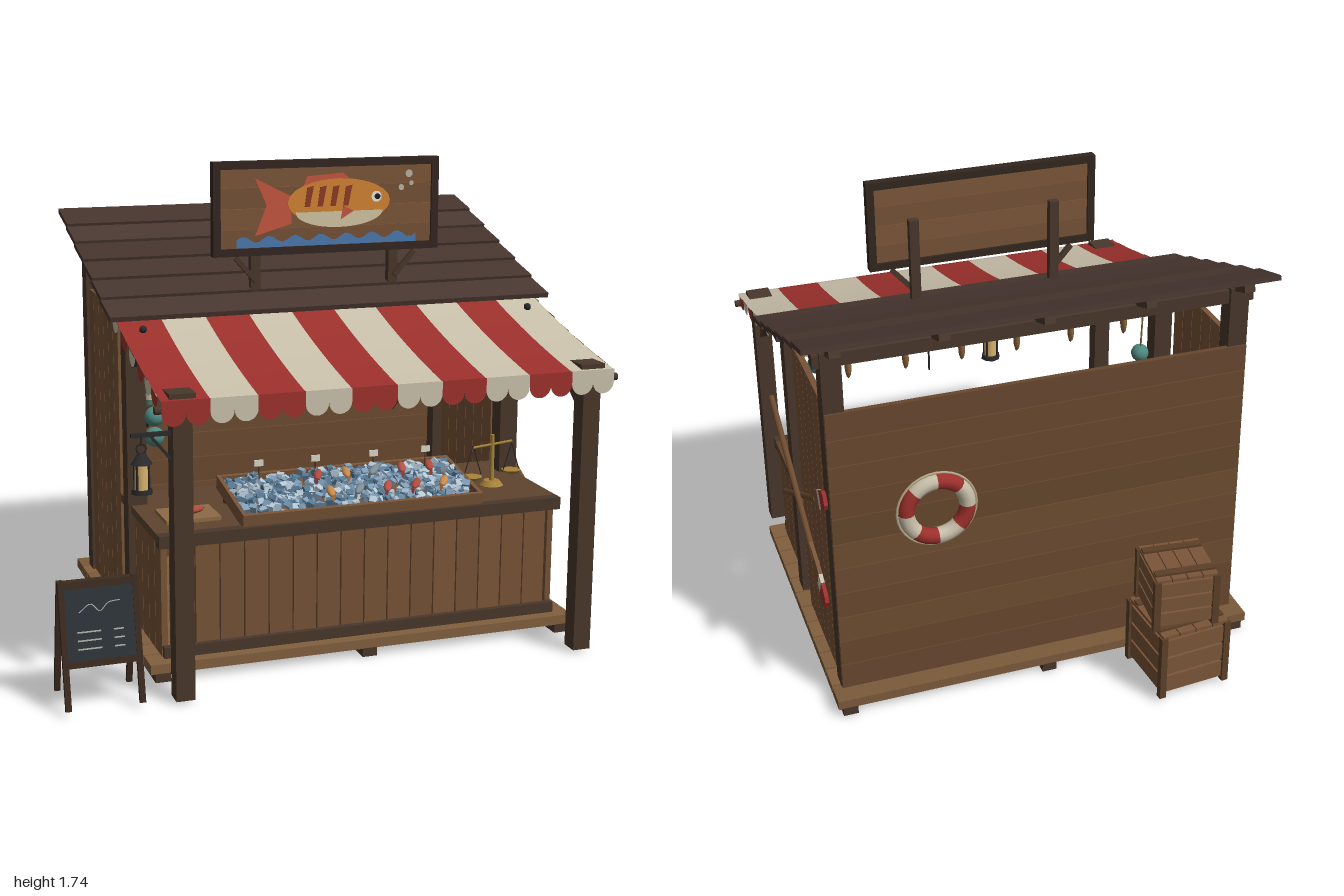
import * as THREE from 'three';
import { mergeGeometries } from 'three/addons/utils/BufferGeometryUtils.js';

const CX = 0.146, PX = 0.741; // stall centre and post offset in x
const WOOD = 0x7a5538, WALL = 0x6b4a30, DARK = 0x49372b, ROOF = 0x4a3831, DECK = 0x83603f;
const RED = 0x9c302c, CREAM = 0xc9c0aa, IRON = 0x2a2a2c, BRASS = 0xa8843a;
const mats = {};
const mat = c => mats[c] ??= new THREE.MeshStandardMaterial({ color: c, side: THREE.DoubleSide });
const shade = (c, k) => new THREE.Color(c).multiplyScalar(k).getHex();
let seed = 7;
const rnd = () => (seed = (seed * 16807) % 2147483647) / 2147483647;
const V = (x, y, z) => new THREE.Vector3(x, y, z);

function add(p, name, geo, c, x = 0, y = 0, z = 0) {
  const m = new THREE.Mesh(geo, mat(c));
  m.name = name; m.position.set(x, y, z); p.add(m);
  return m;
}
const box = (p, name, c, w, h, d, x, y, z) => add(p, name, new THREE.BoxGeometry(w, h, d), c, x, y, z);
const cyl = (p, name, c, r1, r2, h, x, y, z, n = 12) => add(p, name, new THREE.CylinderGeometry(r1, r2, h, n), c, x, y, z);
function group(p, name, x = 0, y = 0, z = 0) {
  const g = new THREE.Group(); g.name = name; g.position.set(x, y, z); p.add(g); return g;
}
// square or round bar between two points
function bar(p, name, c, a, b, t, round) {
  const l = a.distanceTo(b);
  const m = add(p, name, round ? new THREE.CylinderGeometry(t / 2, t / 2, l, 8) : new THREE.BoxGeometry(t, l, t), c);
  m.position.copy(a).lerp(b, 0.5);
  m.quaternion.setFromUnitVectors(V(0, 1, 0), b.clone().sub(a).normalize());
  return m;
}
const flat = (pts, d) => new THREE.ExtrudeGeometry(new THREE.Shape(pts.map(q => new THREE.Vector2(...q))), { depth: d, bevelEnabled: false });

function fish(p, c, x, y, z, s, turn) {
  const g = group(p, 'fish', x, y, z);
  add(g, 'fishBody', new THREE.SphereGeometry(1, 10, 6), c).scale.set(s, s * 0.25, s * 0.35);
  const t = add(g, 'fishTail', new THREE.ConeGeometry(s * 0.35, s * 0.5, 6), c, -s * 1.1);
  t.rotation.z = -Math.PI / 2; t.scale.z = 0.4;
  g.rotation.y = turn;
  return g;
}
function lantern(p, x, y, z) {
  const g = group(p, 'lantern', x, y, z);
  cyl(g, 'lanternBase', IRON, 0.034, 0.036, 0.015, 0, 0.008, 0, 8);
  cyl(g, 'lanternGlass', 0xd9b36c, 0.024, 0.024, 0.085, 0, 0.055, 0);
  for (let i = 0; i < 4; i++) cyl(g, 'lanternRod', IRON, 0.004, 0.004, 0.09, 0.028 * Math.cos(i * 1.57 + 0.8), 0.055, 0.028 * Math.sin(i * 1.57 + 0.8), 6);
  cyl(g, 'lanternHood', IRON, 0.012, 0.037, 0.035, 0, 0.117, 0, 8);
  add(g, 'lanternRing', new THREE.TorusGeometry(0.016, 0.003, 6, 12), IRON, 0, 0.15, 0);
}
function crate(p, s, h, x, y, z, turn) {
  const g = group(p, 'crate', x, y, z);
  g.rotation.y = turn;
  box(g, 'crateCore', 0x4b3523, s * 0.88, h * 0.94, s * 0.88, 0, h / 2, 0);
  for (let k = 0; k < 4; k++) {
    const f = group(g, 'crateSide'); f.rotation.y = k * Math.PI / 2;
    for (let i = 0; i < 3; i++) box(f, 'crateSlat', WOOD, s * 0.94, h * 0.26, 0.012, 0, h * (0.2 + i * 0.3), s * 0.46);
    box(f, 'crateCorner', 0x5c4028, 0.025, h, 0.025, s * 0.47, h / 2, s * 0.47);
  }
  for (let i = 0; i < 4; i++) box(g, 'crateLidSlat', WOOD, s * 0.23, 0.012, s * 0.98, s * (i - 1.5) * 0.245, h, 0);
  for (const e of [-1, 1]) box(g, 'crateLidBatten', 0x5c4028, s * 0.95, 0.01, 0.03, 0, h + 0.01, e * s * 0.32);
}
const awnY = t => 1.205 - 0.16 * t - 0.045 * t * (1 - t);
const awnZ = t => 0.25 + 0.63 * t;

function building(p) {
  // deck and skids
  for (const x of [-0.62, CX, 0.912]) box(p, 'skid', DARK, 0.055, 0.032, 1.23, x, 0.016, 0.045);
  for (let i = 0; i < 12; i++) box(p, 'deckPlank', shade(DECK, 0.88 + 0.14 * rnd()), 1.62, 0.035, 0.096, CX, 0.048, -0.52 + i * 0.1028);
  // posts, walls and counter sides, mirrored
  for (const s of [-1, 1]) {
    const x = CX + s * PX;
    box(p, 'backPost', DARK, 0.072, 1.39, 0.072, x, 0.74, -0.452);
    box(p, 'middlePost', DARK, 0.072, 1.2, 0.072, x, 0.63, 0.19);
    box(p, 'awningPost', DARK, 0.066, 1.03, 0.066, x, 0.525, 0.83);
    box(p, 'postCap', DARK, 0.09, 0.03, 0.09, x, 1.05, 0.82);
    bar(p, 'awningBrace', DARK, V(x, 0.89, 0.81), V(x, 1.02, 0.65), 0.028);
    bar(p, 'awningBrace', DARK, V(x, 1.03, 0.21), V(x, 1.15, 0.36), 0.028);
    bar(p, 'awningArm', DARK, V(x, 1.165, 0.2), V(x, 1.02, 0.84), 0.025);
    for (let i = 0; i < 6; i++) box(p, 'sideBoard', shade(WOOD, 0.86 + 0.16 * rnd()), 0.022, 1.145, 0.077, x + s * 0.014, 0.637, 0.022 - i * 0.08);
    for (let i = 0; i < 6; i++) box(p, 'counterSideBoard', shade(WOOD, 0.86 + 0.16 * rnd()), 0.022, 0.415, 0.085, x, 0.272, 0.547 - i * 0.0885);
    add(p, 'awningKnob', new THREE.SphereGeometry(0.014, 8, 6), IRON, x, awnY(0.16) + 0.01, 0.35);
  }
  for (let i = 0; i < 11; i++) box(p, 'backBoard', shade(WALL, 0.88 + 0.16 * rnd()), 1.55, 0.101, 0.02, CX, 0.117 + i * 0.104, -0.485);
  box(p, 'frontHeader', DARK, 1.6, 0.05, 0.05, CX, 1.195, 0.19);
  box(p, 'backHeader', DARK, 1.6, 0.05, 0.05, CX, 1.4, -0.45);
  // lapped board roof on rafters
  const r = group(p, 'roof', 0.15, 1.357, -0.143);
  r.rotation.x = 0.327;
  for (let i = 0; i < 6; i++) box(r, 'roofBoard', shade(ROOF, 0.85 + 0.17 * rnd()), 1.7, 0.018, 0.168, 0, 0, -0.38 + i * 0.152).rotation.x = -0.07;
  for (let i = 0; i < 5; i++) box(r, 'rafter', DARK, 0.04, 0.035, 0.86, -0.744 + i * 0.37, -0.028, 0);
  // counter
  for (let i = 0; i < 16; i++) box(p, 'counterBoard', shade(WOOD, 0.86 + 0.16 * rnd()), 0.085, 0.415, 0.022, -0.53 + i * 0.09, 0.272, 0.585);
  box(p, 'counterTop', 0x5e4430, 1.53, 0.03, 0.55, CX, 0.497, 0.335);
  box(p, 'counterTrim', DARK, 1.53, 0.045, 0.04, CX, 0.49, 0.6);
  box(p, 'counterBase', DARK, 1.5, 0.04, 0.025, CX, 0.087, 0.605);
}

function awning(p) {
  const w = 0.163;
  for (let i = 0; i < 10; i++) {
    const x = -0.67 + w * (i + 0.5), c = i % 2 ? CREAM : RED;
    const g = new THREE.PlaneGeometry(w, 1, 1, 8), a = g.attributes.position;
    for (let k = 0; k < a.count; k++) { const t = 0.5 - a.getY(k); a.setXYZ(k, a.getX(k), awnY(t), awnZ(t)); }
    g.computeVertexNormals();
    add(p, 'awningStripe', g, c, x);
    const s = new THREE.Shape().moveTo(-w / 2, 0.045).lineTo(-w / 2, 0);
    for (const e of [-1, 1]) s.absarc(e * w / 4, 0, w / 4, Math.PI, Math.PI * 2, false);
    s.lineTo(w / 2, 0.045);
    add(p, 'awningScallop', new THREE.ShapeGeometry(s, 8), c, x, 1.003, 0.882);
  }
  // half-round pennants along both sides
  [0.8, 0.715, 0.615, 0.5, 0.385, 0.255].forEach((z, i) => {
    const t = (z - 0.25) / 0.63;
    for (const x of [-0.672, 0.962]) {
      const m = add(p, 'sidePennant', new THREE.CircleGeometry(0.045, 14, Math.PI, Math.PI), i % 2 ? CREAM : RED, x, awnY(t), z);
      m.rotation.set(0, Math.PI / 2, 0.22);
    }
  });
  bar(p, 'awningRail', DARK, V(-0.69, 1.015, 0.862), V(0.98, 1.015, 0.862), 0.028, true);
}

function sign(p) {
  const g = group(p, 'sign', 0.147, 1.57, 0.172);
  for (let i = 0; i < 4; i++) box(g, 'signPlank', shade(WOOD, 0.9 + 0.12 * (i % 2)), 0.83, 0.074, 0.018, 0, -0.113 + i * 0.0753, 0);
  for (const e of [-1, 1]) {
    box(g, 'signFrame', 0x33261f, 0.875, 0.028, 0.036, 0, e * 0.157, 0);
    box(g, 'signFrame', 0x33261f, 0.028, 0.34, 0.036, e * 0.424, 0, 0);
    box(p, 'signPost', DARK, 0.036, 0.38, 0.03, 0.15 + e * 0.27, 1.4, 0.14);
    bar(p, 'signBrace', DARK, V(0.15 + e * 0.27, 1.3, 0.165), V(0.15 + e * 0.35, 1.39, 0.165), 0.018);
  }
  // painted fish, in thin layers
  const art = (n, c, pts, l) => add(g, n, flat(pts, 0.002), c, 0, 0, 0.008 + l * 0.002);
  const oval = (x, y, a, b, from = 0, to = Math.PI * 2) => Array.from({ length: 25 }, (_, i) => {
    const t = from + (to - from) * i / 24; return [x + a * Math.cos(t), y + b * Math.sin(t)];
  });
  art('paintedTail', 0xc4553f, [[-0.14, -0.06], [-0.28, -0.1], [-0.235, 0.01], [-0.28, 0.11], [-0.14, 0.04]], 1);
  art('paintedFin', 0xc4553f, [[-0.1, 0.06], [-0.08, 0.11], [0.06, 0.12], [0.12, 0.07]], 1);
  art('paintedBody', 0xd08232, oval(0.045, 0.015, 0.2, 0.085), 2);
  art('paintedBelly', 0xd2c3a2, oval(0.045, -0.02, 0.17, 0.058, Math.PI, Math.PI * 2), 3);
  for (let i = 0; i < 4; i++) art('paintedBand', 0x8e3a26, [[-0.09, 0.0], [-0.07, 0.0], [-0.055, 0.075], [-0.08, 0.07]].map(q => [q[0] + i * 0.05, q[1]]), 3);
  art('paintedSideFin', 0xc4553f, [[0.06, 0], [0.1, -0.02], [0.05, -0.05]], 4);
  art('paintedEye', 0xe8e4d8, oval(0.19, 0.03, 0.02, 0.02), 4);
  art('paintedPupil', 0x1c1c1c, oval(0.193, 0.03, 0.011, 0.011), 5);
  for (const [x, y, r] of [[0.29, 0.06, 0.011], [0.32, 0.11, 0.014], [0.33, 0.075, 0.009]]) art('paintedBubble', 0xb8b2a0, oval(x, y, r, r), 2);
  const wave = Array.from({ length: 41 }, (_, i) => [-0.35 + i * 0.0175, -0.112 + 0.012 * Math.sin(i * 1.1)]);
  art('paintedWater', 0x4a78ad, [[-0.35, -0.142], ...wave, [0.35, -0.142]], 2);
}

function goods(p) {
  // tilted ice tray with fish
  const t = group(p, 'iceTray', 0.145, 0.555, 0.44);
  t.rotation.x = 0.18;
  box(t, 'trayFloor', WOOD, 0.91, 0.02, 0.33, 0, -0.015, 0);
  for (const e of [-1, 1]) {
    box(t, 'trayRim', WOOD, 0.91, 0.05, 0.015, 0, 0.005, e * 0.16);
    box(t, 'trayRim', WOOD, 0.015, 0.05, 0.33, e * 0.45, 0.005, 0);
    box(p, 'trayFoot', DARK, 0.03, 0.06, 0.03, 0.145 + e * 0.42, 0.54, 0.3);
  }
  for (const c of [0x7f9db8, 0xb4c8d6, 0x557792]) {
    const parts = [];
    for (let i = 0; i < 170; i++) parts.push(new THREE.BoxGeometry(0.026, 0.02, 0.026).rotateX(rnd() * 3).rotateY(rnd() * 3)
      .translate((rnd() - 0.5) * 0.87, 0.012 + rnd() * 0.016, (rnd() - 0.5) * 0.29));
    add(t, 'ice', mergeGeometries(parts), c);
  }
  const cols = [0xb04a3c, 0xc98a4a, 0x7f8d96, 0xb5524a];
  for (let i = 0; i < 10; i++) fish(t, cols[i % 4], -0.1 + (i % 5) * 0.11, 0.045, i < 5 ? -0.07 : 0.07, 0.045, 0.9 + 0.5 * rnd());
  for (const x of [-0.16, 0.06, 0.29, 0.5]) {
    box(p, 'priceCard', 0xd8d4c8, 0.035, 0.024, 0.004, x, 0.655, 0.31);
    bar(p, 'priceStick', DARK, V(x, 0.58, 0.308), V(x, 0.65, 0.308), 0.005, true);
  }
  // cutting board with a fish and a knife
  box(p, 'cuttingBoard', 0x8d6a45, 0.2, 0.014, 0.16, -0.46, 0.52, 0.42);
  fish(p, 0xb04a3c, -0.45, 0.538, 0.43, 0.055, 0.3);
  box(p, 'knife', 0x9aa0a4, 0.09, 0.004, 0.018, -0.46, 0.53, 0.37);
  // balance scale
  const s = group(p, 'scale', 0.745, 0.512, 0.38);
  cyl(s, 'scaleFoot', BRASS, 0.03, 0.045, 0.018, 0, 0.009, 0);
  cyl(s, 'scaleColumn', BRASS, 0.007, 0.009, 0.19, 0, 0.1, 0);
  bar(s, 'scaleBeam', BRASS, V(-0.08, 0.15, 0), V(0.08, 0.165, 0), 0.01, true);
  for (const e of [-1, 1]) {
    cyl(s, 'scalePan', BRASS, 0.037, 0.025, 0.012, e * 0.08, 0.04 + e * 0.007, 0);
    for (const q of [-1, 1]) bar(s, 'scaleChain', IRON, V(e * 0.08, 0.157, 0), V(e * 0.08 + q * 0.035, 0.045, 0), 0.004, true);
  }
  // shelves with jars, tins and bottles
  for (const y of [0.73, 0.95]) box(p, 'shelf', DARK, 1.24, 0.022, 0.14, 0.14, y, -0.4);
  for (const x of [-0.39, CX, 0.68]) {
    box(p, 'shelfUpright', DARK, 0.02, 0.32, 0.02, x, 0.8, -0.46);
    bar(p, 'shelfBrace', DARK, V(x, 0.63, -0.47), V(x, 0.72, -0.35), 0.018);
  }
  [[-0.39, 0x4f7a5c], [-0.31, 0xb08a4a], [-0.225, 0x6f93a8], [0.145, 0x4f7fa0], [0.53, 0xb58d4c], [0.61, 0x6d98a0], [0.695, 0xa5b0ae]].forEach(([x, c]) => {
    cyl(p, 'jar', c, 0.026, 0.026, 0.075, x, 0.779, -0.38);
    cyl(p, 'jarLabel', 0xc9bfa2, 0.027, 0.027, 0.025, x, 0.775, -0.38);
    cyl(p, 'jarLid', 0x8d8a80, 0.023, 0.023, 0.015, x, 0.824, -0.38);
  });
  for (const [x, y, c] of [[-0.14, 0, 0x4f7fa0], [-0.08, 0, RED], [-0.11, 1, 0x8f9aa2], [0.315, 0, 0x4f7fa0], [0.315, 1, RED], [0.365, 0, RED]])
    cyl(p, 'tin', c, 0.024, 0.024, 0.036, x, 0.76 + y * 0.037, -0.38);
  const prof = [[0, 0], [0.021, 0], [0.021, 0.06], [0.008, 0.085], [0.008, 0.12], [0, 0.12]].map(q => new THREE.Vector2(...q));
  add(p, 'bottle', new THREE.LatheGeometry(prof, 12), 0x5f7a48, 0.44, 0.741, -0.38);
  // glass floats, drying fish and an inside lantern
  for (const [x, y] of [[0.79, 1.02], [-0.53, 0.84], [-0.53, 0.765]]) {
    add(p, 'glassFloat', new THREE.SphereGeometry(0.036, 14, 10), 0x4f8a82, x, y, 0.23);
    bar(p, 'floatRope', 0x8a7550, V(x, y, 0.23), V(x, 1.18, 0.2), 0.006, true);
  }
  bar(p, 'dryingLine', 0x8a7550, V(-0.58, 1.13, 0.1), V(0.87, 1.13, 0.1), 0.006, true);
  for (let i = 0; i < 6; i++) fish(p, 0x8a6238, -0.4 + i * 0.22, 1.06, 0.1, 0.05, 0).rotation.z = -Math.PI / 2;
  lantern(p, CX, 1.0, 0.1);
  box(p, 'hookBlock', IRON, 0.03, 0.02, 0.05, 0.5, 1.31, -0.3);
  bar(p, 'hook', IRON, V(0.5, 1.21, -0.3), V(0.5, 1.38, -0.3), 0.007, true);
}

function extras(p) {
  // post lantern on its bracket
  lantern(p, -0.726, 0.735, 0.83);
  bar(p, 'lanternBracket', IRON, V(-0.62, 0.93, 0.83), V(-0.76, 0.93, 0.83), 0.014);
  bar(p, 'lanternBracket', IRON, V(-0.626, 0.84, 0.83), V(-0.7, 0.93, 0.83), 0.01);
  bar(p, 'lanternHook', IRON, V(-0.726, 0.93, 0.83), V(-0.726, 0.895, 0.83), 0.006, true);
  // chalkboard on two folding leaves
  for (const e of [-1, 1]) {
    const g = group(p, 'chalkboardLeaf', -0.865, 0.43, 0.75 + e * 0.008);
    g.rotation.set(-0.215, 0, 0);
    if (e < 0) g.rotation.set(0.215, Math.PI, 0, 'YXZ'), g.rotation.x = -0.215;
    for (const x of [-0.125, 0.125]) box(g, 'chalkboardLeg', 0x3a2a20, 0.02, 0.425, 0.016, x, -0.208, 0);
    for (const y of [-0.01, -0.27]) box(g, 'chalkboardRail', 0x3a2a20, 0.27, 0.022, 0.018, 0, y, 0);
    box(g, 'slate', 0x2b3235, 0.235, 0.25, 0.01, 0, -0.14, 0);
    if (e > 0) {
      for (let i = 0; i < 3; i++) for (const [x, w] of [[-0.04, 0.08], [0.06, 0.035]]) box(g, 'chalkLine', 0xa9aaa4, w, 0.005, 0.002, x, -0.165 - i * 0.028, 0.007);
      const c = new THREE.CatmullRomCurve3([[-0.07, -0.1], [-0.03, -0.075], [0.0, -0.1], [0.03, -0.075], [0.07, -0.07]].map(q => V(q[0], q[1], 0.007)));
      add(g, 'chalkDrawing', new THREE.TubeGeometry(c, 20, 0.002, 5), 0xa9aaa4);
    }
  }
  // crossed oars on the side wall
  for (const [x, y0, y1] of [[0.945, 0.47, 0.905], [0.965, 0.895, 0.475]]) {
    const a = V(x, y0, 0.265), d = V(0, y1 - y0, -0.8), L = d.length();
    const g = group(p, 'oar'); g.position.copy(a);
    g.quaternion.setFromUnitVectors(V(0, 1, 0), d.normalize());
    cyl(g, 'oarShaft', 0x6f4c30, 0.011, 0.011, L * 0.8, 0, L * 0.4, 0, 8);
    const blade = (n, c, q) => { const m = add(g, n, flat(q, 0.014), c, -0.007); m.rotation.y = Math.PI / 2; };
    blade('oarBlade', 0x7a5538, [[-0.012, L * 0.72], [0.012, L * 0.72], [0.034, L * 0.82], [0.035, L * 0.88], [-0.035, L * 0.88], [-0.034, L * 0.82]]);
    blade('oarBand', CREAM, [[-0.035, L * 0.88], [0.035, L * 0.88], [0.035, L * 0.92], [-0.035, L * 0.92]]);
    blade('oarTip', RED, [[-0.035, L * 0.92], [0.035, L * 0.92], [0.033, L * 0.98], [0.018, L], [-0.018, L], [-0.033, L * 0.98]]);
  }
  // life ring on the back wall
  const ring = group(p, 'lifeRing', 0.55, 0.78, -0.52);
  for (let i = 0; i < 8; i++) add(ring, 'ringSegment', new THREE.TorusGeometry(0.112, 0.03, 10, 8, Math.PI / 4), i % 2 ? CREAM : RED).rotation.z = i * Math.PI / 4;
  add(ring, 'ringRope', new THREE.TorusGeometry(0.145, 0.005, 6, 32), 0xb8a988);
  // stacked crates
  crate(p, 0.275, 0.265, -0.3, 0.015, -0.73, 0.08);
  crate(p, 0.235, 0.21, -0.285, 0.295, -0.735, -0.1);
}

export function createModel() {
  const g = new THREE.Group();
  g.name = 'fishStall';
  for (const part of [building, awning, sign, goods, extras]) part(group(g, part.name));
  return g;
}
